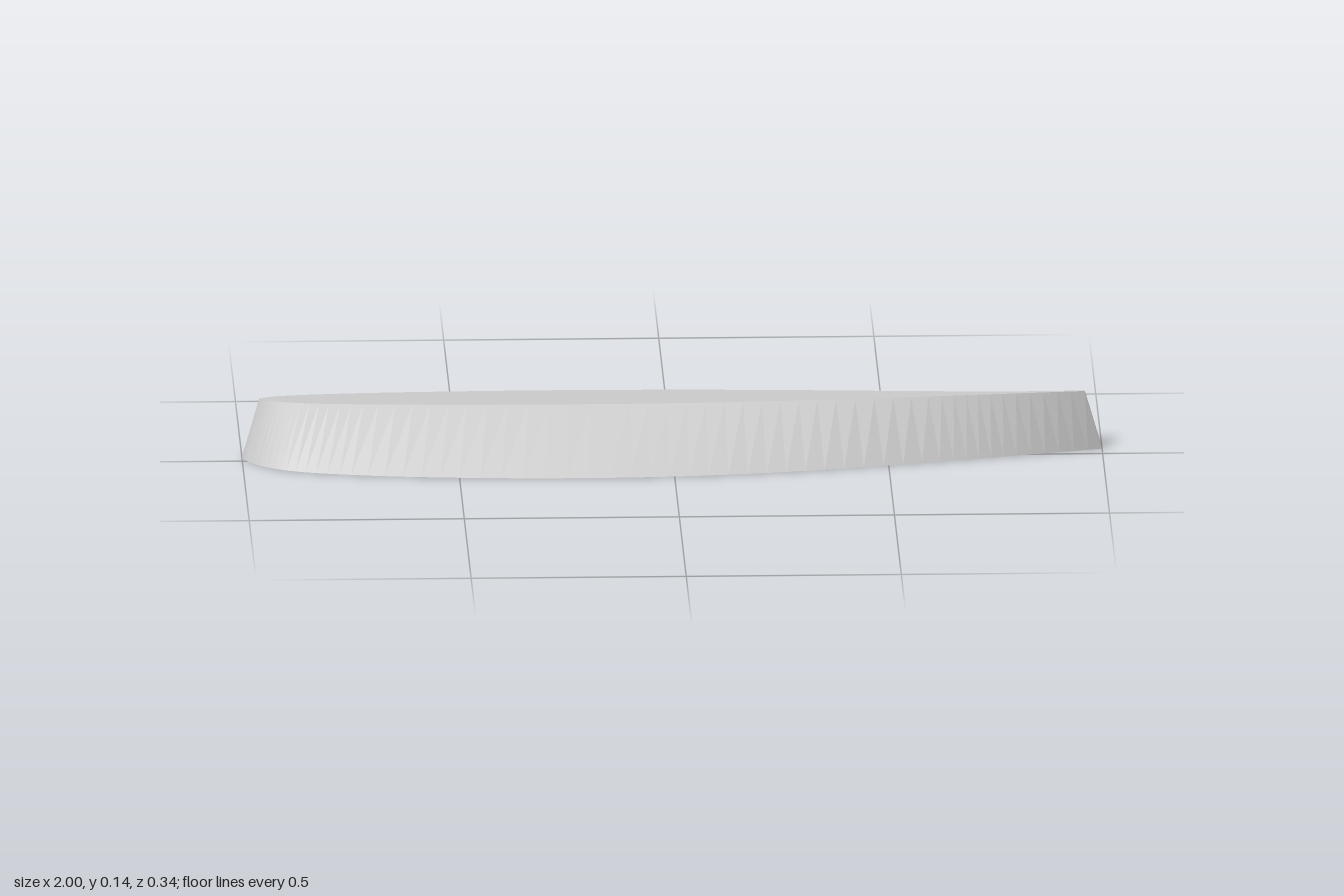
import * as THREE from 'three';

const HEIGHT = 0.14;

// Foil outline as [x, z]: from the tail along the back, round the nose, along the front to the tail
const OUTLINE = [
  [1, -0.055], [0.9, -0.048], [0.8, -0.048], [0.62, -0.07], [0.3, -0.122], [0.04, -0.155], [-0.28, -0.17],
  [-0.55, -0.161], [-0.75, -0.141], [-0.9, -0.109], [-0.97, -0.074], [-1, -0.03], [-0.97, 0.028],
  [-0.9, 0.082], [-0.75, 0.124], [-0.5, 0.156], [-0.2, 0.168], [0.08, 0.155], [0.35, 0.116],
  [0.62, 0.055], [0.8, 0.011], [1, -0.041],
];

// The upper outline is the lower one, narrowed towards the back
const raise = (p) => new THREE.Vector3(p.x * 0.96, HEIGHT, p.z * 0.355 - 0.0255);

export function createModel() {
  const group = new THREE.Group();
  group.name = 'taperedFoil';
  const grey = new THREE.MeshStandardMaterial({ color: 0xcccccc, side: THREE.DoubleSide, flatShading: true });
  grey.name = 'light grey';

  const curve = new THREE.CatmullRomCurve3(OUTLINE.map(([x, z]) => new THREE.Vector3(x, 0, z)));
  const lower = curve.getPoints(126);
  const upper = lower.map(raise);

  // Sloping side wall, closed by the narrow blunt tail; the underside is open
  const pos = [];
  lower.forEach((a, i) => {
    const j = (i + 1) % lower.length;
    for (const p of [a, lower[j], upper[j], a, upper[j], upper[i]]) pos.push(p.x, p.y, p.z);
  });
  const wallGeo = new THREE.BufferGeometry();
  wallGeo.setAttribute('position', new THREE.Float32BufferAttribute(pos, 3));
  wallGeo.computeVertexNormals();
  const wall = new THREE.Mesh(wallGeo, grey);
  wall.name = 'sideWall';

  // Flat top
  const shape = new THREE.Shape(upper.map((p) => new THREE.Vector2(p.x, -p.z)));
  const cap = new THREE.Mesh(new THREE.ShapeGeometry(shape).rotateX(-Math.PI / 2), grey);
  cap.position.y = HEIGHT;
  cap.name = 'topPlate';

  group.add(wall, cap);
  return group;
}
